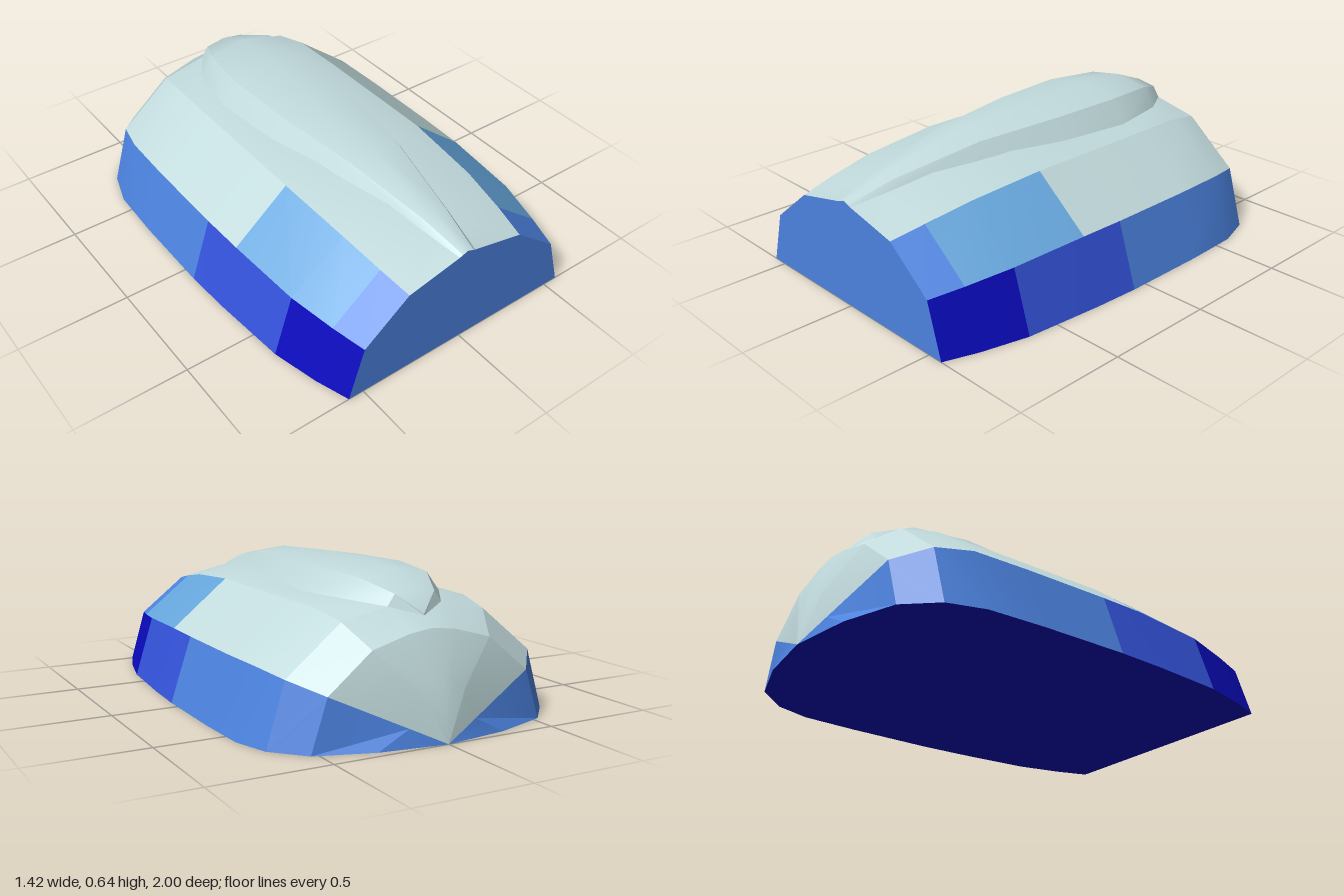
import * as THREE from 'three';
import { toCreasedNormals } from 'three/addons/utils/BufferGeometryUtils.js';

const paint = (name, color) => {
  const m = new THREE.MeshStandardMaterial({ color });
  m.name = name;
  return m;
};

// Cross-sections of the shell, front to back: z, then x,y of sill, belt, shoulder, crown edge, and crown centre y
const shell = [
  [1, 0.57, 0, 0.5, 0.235, 0.29, 0.4, 0.04, 0.456, 0.47],
  [0.85, 0.62, 0, 0.54, 0.25, 0.312, 0.43, 0.07, 0.48, 0.485],
  [0.64, 0.67, 0, 0.585, 0.27, 0.335, 0.465, 0.115, 0.515, 0.52],
  [0.28, 0.7, 0, 0.61, 0.285, 0.355, 0.493, 0.19, 0.53, 0.535],
  [0.07, 0.71, 0, 0.615, 0.285, 0.355, 0.493, 0.23, 0.52, 0.53],
  [-0.33, 0.71, 0, 0.615, 0.285, 0.355, 0.493, 0.27, 0.513, 0.53],
  [-0.59, 0.7, 0, 0.608, 0.285, 0.35, 0.49, 0.225, 0.518, 0.53],
  [-0.75, 0.65, 0, 0.57, 0.265, 0.33, 0.46, 0.125, 0.503, 0.512],
  [-0.88, 0.53, 0, 0.46, 0.215, 0.27, 0.37, 0.1, 0.418, 0.43],
  [-0.96, 0.29, 0, 0.153, 0.072, 0.1, 0.2, 0.04, 0.232, 0.24],
  [-1, 0, 0, 0, 0, 0, 0, 0, 0, 0],
].map(([z, ...v]) => [0, 2, 4, 6].map((i) => [v[i], v[i + 1], z]).concat([[0, v[8], z]]));

// Cross-sections of the raised spine: z, base x,y, edge x,y, centre y
const spine = [
  [1, 0.04, 0.456, 0.027, 0.466, 0.473],
  [0.8, 0.08, 0.488, 0.058, 0.521, 0.535],
  [0.4, 0.165, 0.527, 0.125, 0.59, 0.612],
  [0, 0.24, 0.517, 0.18, 0.606, 0.636],
  [-0.33, 0.27, 0.513, 0.197, 0.612, 0.645],
  [-0.59, 0.225, 0.518, 0.163, 0.6, 0.627],
  [-0.75, 0.125, 0.503, 0.092, 0.55, 0.565],
  [-0.82, 0, 0.467, 0, 0.467, 0.475],
].map(([z, bx, by, ex, ey, cy]) => [[bx, by, z], [ex, ey, z], [0, cy, z]]);

const flip = ([x, y, z]) => [-x, y, z];

function meshOf(name, triangles, material, crease = 0.3) {
  let geo = new THREE.BufferGeometry();
  geo.setAttribute('position', new THREE.Float32BufferAttribute(triangles.flat(2), 3));
  geo.computeVertexNormals();
  geo = toCreasedNormals(geo, crease);
  const mesh = new THREE.Mesh(geo, material);
  mesh.name = name;
  return mesh;
}

// Mirrored skin over stations from..to and section points low..high
function skin(name, rows, from, to, low, high, material, crease) {
  const tris = [];
  for (let i = from; i < to; i++) {
    for (let k = low; k < high; k++) {
      const [a, b, c, d] = [rows[i][k], rows[i + 1][k], rows[i + 1][k + 1], rows[i][k + 1]];
      for (const t of [[a, b, c], [a, c, d]]) {
        tris.push(t, [t[0], t[2], t[1]].map(flip));
      }
    }
  }
  return meshOf(name, tris, material, crease);
}

export function createModel() {
  const grey = paint('pale grey', 0xc2dbdd);
  const sky = paint('sky blue', 0x66a6dc);
  const blue = paint('mid blue', 0x4c83e0);
  const royal = paint('royal blue', 0x3453dc);
  const navy = paint('deep blue', 0x0a0abe);

  const model = new THREE.Group();
  model.name = 'shell';

  // Lower side bands, darkening towards the front
  model.add(skin('frontSideBand', shell, 0, 2, 0, 1, navy));
  model.add(skin('middleSideBand', shell, 2, 4, 0, 1, royal));
  model.add(skin('rearSideBand', shell, 4, 10, 0, 1, blue));

  // Sloping shoulders
  model.add(skin('frontShoulder', shell, 0, 1, 1, 2, blue));
  model.add(skin('middleShoulder', shell, 1, 3, 1, 2, sky));
  model.add(skin('rearShoulder', shell, 3, 10, 1, 2, grey));

  // Crown and the raised spine on it
  model.add(skin('crown', shell, 0, 10, 2, 4, grey));
  model.add(skin('spineFlanks', spine, 0, 7, 0, 1, grey, 0.5));
  model.add(skin('spineTop', spine, 0, 7, 1, 2, grey, 0.6));

  // Flat front face, fanned from the middle of its sill
  const rim = [...shell[0], ...shell[0].slice(0, 4).reverse().map(flip)];
  const face = rim.slice(1).map((p, i) => [[0, 0, 1], rim[i], p]);
  model.add(meshOf('frontFace', face, blue));

  // Flat underside
  const base = [];
  for (let i = 0; i < 10; i++) {
    const a = shell[i][0], b = shell[i + 1][0];
    base.push([a, flip(a), flip(b)], [a, flip(b), b]);
  }
  model.add(meshOf('underside', base, navy));

  return model;
}
